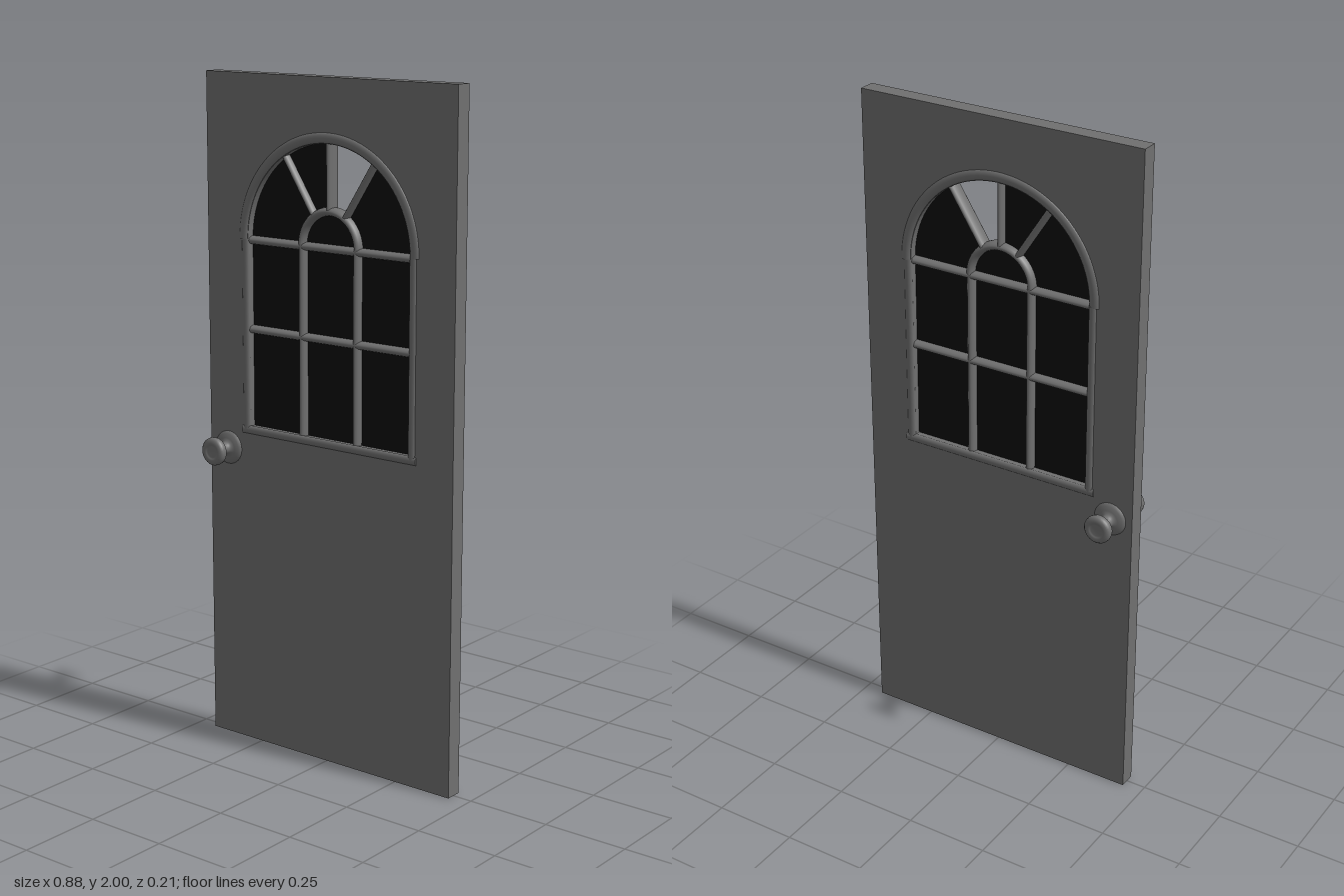
import * as THREE from 'three';

const SPRING = 1.53, SILL = 0.975, OPEN = 0.288, HALF = 0.025;
const SPOKE = THREE.MathUtils.degToRad(57);

// Arched window outline, grown by a margin
function archPath(path, m) {
  const r = OPEN + m;
  path.moveTo(-r, SILL - m);
  path.lineTo(r, SILL - m);
  path.lineTo(r, SPRING);
  path.absarc(0, SPRING, r, 0, Math.PI, false);
  path.closePath();
  return path;
}

export function createModel() {
  const door = new THREE.Group();
  door.name = 'door';
  const paint = new THREE.MeshStandardMaterial({ color: 0x707070 });
  paint.name = 'grey paint';
  const pane = new THREE.MeshStandardMaterial({ color: 0x0c0c0c });
  pane.name = 'dark glass';

  const add = (name, geometry, material = paint) => {
    const mesh = new THREE.Mesh(geometry, material);
    mesh.name = name;
    door.add(mesh);
    return mesh;
  };

  // Straight moulding with an elliptical section between two points
  const bar = (name, x1, y1, x2, y2, radius, depth, z = 0) => {
    const dx = x2 - x1, dy = y2 - y1;
    const g = new THREE.CylinderGeometry(radius, radius, Math.hypot(dx, dy), 16);
    g.scale(1, 1, depth / radius);
    g.rotateZ(Math.atan2(dy, dx) - Math.PI / 2);
    g.translate((x1 + x2) / 2, (y1 + y2) / 2, z);
    return add(name, g);
  };

  // Half-circle moulding around the springing point
  const arch = (name, radius, tube, depth, z = 0) => {
    const g = new THREE.TorusGeometry(radius, tube, 16, 48, Math.PI);
    g.scale(1, 1, depth / tube);
    g.translate(0, SPRING, z);
    return add(name, g);
  };

  // Slab with the arched opening
  const slab = new THREE.Shape();
  slab.moveTo(-0.44, 0);
  slab.lineTo(0.44, 0);
  slab.lineTo(0.44, 2);
  slab.lineTo(-0.44, 2);
  slab.closePath();
  slab.holes.push(archPath(new THREE.Path(), 0));
  const slabGeo = new THREE.ExtrudeGeometry(slab, { depth: 2 * HALF, bevelEnabled: false, curveSegments: 40 });
  add('slab', slabGeo.translate(0, 0, -HALF));

  // Glass, with one missing pane beside the centre spoke
  const glass = archPath(new THREE.Shape(), 0.01);
  const gap = new THREE.Path();
  gap.absarc(0, SPRING, OPEN + 0.004, SPOKE, Math.PI / 2, false);
  gap.absarc(0, SPRING, 0.0975, Math.PI / 2, SPOKE, true);
  gap.closePath();
  glass.holes.push(gap);
  const glassGeo = new THREE.ExtrudeGeometry(glass, { depth: 0.006, bevelEnabled: false, curveSegments: 40 });
  add('glass', glassGeo.translate(0, 0, -0.003), pane);

  // Glazing bars
  for (const x of [-0.097, 0.097]) bar('verticalBar', x, SILL - 0.01, x, SPRING, 0.0125, 0.024);
  for (const y of [1.263, 1.524]) bar('horizontalBar', -0.295, y, 0.295, y, 0.0125, 0.024);
  arch('innerArch', 0.099, 0.0125, 0.024);
  for (const a of [SPOKE, Math.PI / 2, Math.PI - SPOKE]) {
    const c = Math.cos(a), s = Math.sin(a);
    bar('spoke', 0.1 * c, SPRING + 0.1 * s, 0.295 * c, SPRING + 0.295 * s, 0.01, 0.023);
  }

  // Raised trim and door knob on both faces
  const knobProfile = [
    [0.05, 0.024], [0.049, 0.028], [0.042, 0.033], [0.03, 0.036], [0.021, 0.038],
    [0.0175, 0.045], [0.0165, 0.06], [0.0175, 0.074], [0.022, 0.078], [0.034, 0.078],
    [0.04, 0.082], [0.042, 0.09], [0.041, 0.098], [0.036, 0.104], [0.026, 0.105],
    [0.021, 0.103], [0.017, 0.101], [0, 0.101],
  ].map(([r, h]) => new THREE.Vector2(r, h));

  for (const side of [1, -1]) {
    const z = side * 0.022;
    arch('archTrim', 0.304, 0.0155, 0.009, z);
    for (const x of [-1, 1]) {
      bar('archTrimEnd', x * 0.304, SPRING - 0.002, x * 0.304, SPRING + 0.002, 0.0155, 0.009, z);
      bar('sideTrim', x * 0.299, 0.963, x * 0.299, SPRING, 0.0125, 0.008, z);
    }
    bar('sillTrim', -0.315, 0.965, 0.315, 0.965, 0.0125, 0.008, z);

    const knob = new THREE.LatheGeometry(knobProfile, 32);
    knob.rotateX(side * Math.PI / 2);
    knob.translate(-0.37, 0.9, 0);
    add(side > 0 ? 'frontKnob' : 'backKnob', knob);
  }
  return door;
}
